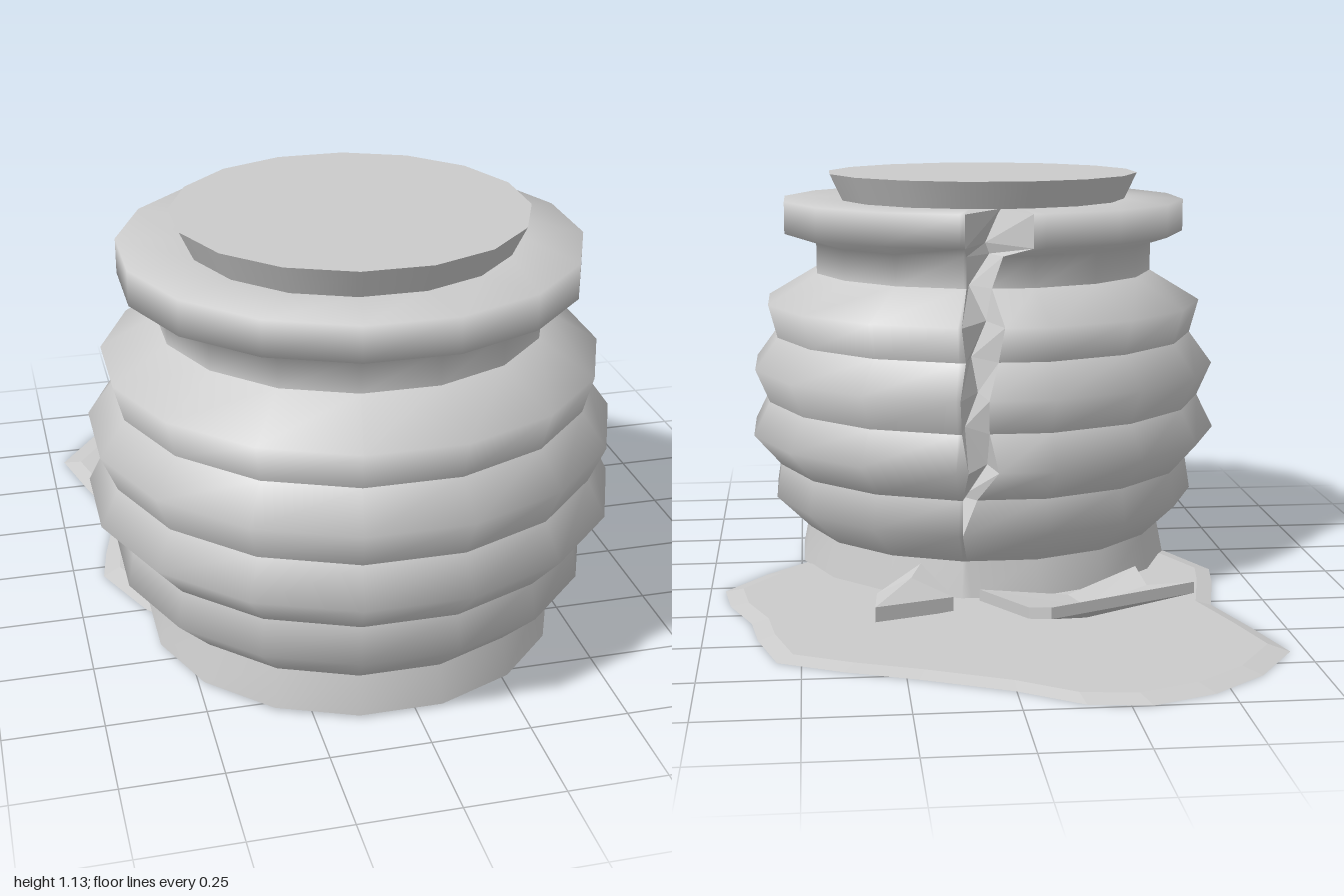
import * as THREE from 'three';

const CX = -0.038, CZ = 0.335, SIDES = 16, STEP = Math.PI / SIDES;

// Skin a surface over rows of [x, y, z] points; flat gives faceted shading.
function loft(rows, flat = false) {
  const n = rows[0].length, index = [];
  for (let i = 0; i < rows.length - 1; i++) {
    for (let j = 0; j < n - 1; j++) {
      const a = i * n + j, d = a + n;
      index.push(a, a + 1, d + 1, a, d + 1, d);
    }
  }
  let g = new THREE.BufferGeometry();
  g.setAttribute('position', new THREE.Float32BufferAttribute(rows.flat(2), 3));
  g.setIndex(index);
  if (flat) g = g.toNonIndexed();
  g.computeVertexNormals();
  return g;
}

export function createModel() {
  const model = new THREE.Group();
  const grey = new THREE.MeshStandardMaterial({ color: 0xcccccc, side: THREE.DoubleSide });
  const add = (name, geometry, parent = model) => {
    const mesh = new THREE.Mesh(geometry, grey);
    mesh.name = name;
    parent.add(mesh);
    return mesh;
  };

  // Pot profile: half width, height, crack edges in x (-x side, +x side), crack depth
  const profile = [
    [0.53, 0.008, 0.08, 0.08, 0],
    [0.51, 0.11, 0.09, 0.09, 0],
    [0.605, 0.205, 0.11, 0.11, 0],
    [0.59, 0.30, 0.07, 0.108, 0.05],
    [0.667, 0.39, 0.02, 0.10, 0.11],
    [0.62, 0.485, 0.04, 0.113, 0.10],
    [0.66, 0.58, 0.045, 0.12, 0.13],
    [0.595, 0.67, 0.014, 0.10, 0.10],
    [0.62, 0.765, 0, 0.113, 0.13],
    [0.48, 0.85, 0.02, 0.088, 0.08],
    [0.48, 0.935, -0.01, 0.088, 0.08],
    [0.57, 0.965, -0.08, 0.10, 0.17],
    [0.57, 1.055, -0.08, 0.10, 0.17],
    [0.40, 1.055, -0.073, 0.073, 0],
  ];

  // One open ring, running from one edge of the crack round to the other
  const ring = ([w, y, lo, hi]) => {
    const pts = [[lo, y, -w]], r = w / Math.cos(STEP);
    for (let k = 0; k < SIDES; k++) {
      const a = Math.PI + STEP * (2 * k + 1);
      pts.push([r * Math.sin(a), y, r * Math.cos(a)]);
    }
    pts.push([hi, y, -w]);
    return pts;
  };

  const pot = new THREE.Group();
  pot.name = 'pot';
  pot.position.set(CX, 0, CZ);
  model.add(pot);

  // Bands are smooth inside and creased where they meet
  const bands = [['foot', 0, 1], ['rib', 1, 3], ['rib', 3, 5], ['rib', 5, 7], ['rib', 7, 9], ['neckAndRim', 9, 13]];
  for (const [name, from, to] of bands) {
    add(name, loft(profile.slice(from, to + 1).map(ring)), pot);
  }

  // Closed underside
  const foot = ring(profile[0]);
  add('base', loft([foot.map(() => [0, 0.008, 0]), foot]), pot);

  // Jagged V-shaped crack down the back
  const crack = profile.slice(2).map(([w, y, lo, hi, depth], i) => [
    [hi, y, -w],
    [(lo + hi) / 2 + (i % 2 ? 0.02 : -0.02) * (depth > 0 ? 1 : 0), y, -w + depth],
    [lo, y, -w],
  ]);
  add('crack', loft(crack, true), pot);
  add('footBack', loft(profile.slice(0, 3).map(([w, y, lo, hi]) => [[hi, y, -w], [lo, y, -w]])), pot);

  // Stopper
  const stopper = add('stopper', new THREE.CylinderGeometry(0.44 / Math.cos(STEP), 0.40 / Math.cos(STEP),
    0.085, SIDES, 1, false, STEP), pot);
  stopper.position.y = 1.0875;

  // Thin slab from an outline of [x, z, y]; the centre may lie at another height
  const slab = (outline, [cx, cz, cy], thickness, inset = 1) => {
    const loop = [...outline, outline[0]];
    const floor = (y) => Math.max(y - thickness, 0);
    return loft([
      loop.map(() => [cx, cy, cz]),
      loop.map(([x, z, y]) => [cx + (x - cx) * inset, y, cz + (z - cz) * inset]),
      loop.map(([x, z, y]) => [x, floor(y), z]),
      loop.map(() => [cx, floor(cy), cz]),
    ], true);
  };

  // Spilled puddle
  const puddle = [
    [-0.30, -1], [-0.15, -0.98], [0, -0.88], [0.22, -0.78], [0.40, -0.71], [0.56, -0.63],
    [0.61, -0.46], [0.63, -0.32], [0.69, -0.17], [0.71, -0.03], [0.60, 0.12], [0.40, 0.32],
    [0.12, 0.50], [-0.15, 0.57], [-0.40, 0.45], [-0.58, 0.25], [-0.67, 0.05], [-0.65, -0.07],
    [-0.60, -0.28], [-0.66, -0.48], [-0.71, -0.67], [-0.60, -0.83], [-0.46, -0.94],
  ].map(([x, z]) => [x, z, 0.012]);
  add('puddle', slab(puddle, [0, -0.25, 0.012], 0.012, 0.93));

  // Broken pieces lying behind the pot
  add('largeShard', slab([
    [-0.12, -0.60, 0.11], [-0.08, -0.47, 0.07], [0.04, -0.40, 0.10], [-0.20, -0.34, 0.06],
    [-0.40, -0.23, 0.10], [-0.41, -0.34, 0.08], [-0.52, -0.42, 0.11],
  ], [-0.24, -0.40, 0.045], 0.03));
  add('smallShard', slab([
    [0.31, -0.40, 0.06], [0.30, -0.25, 0.05], [0.18, -0.20, 0.115], [0.10, -0.30, 0.05],
  ], [0.21, -0.28, 0.10], 0.04));

  return model;
}
